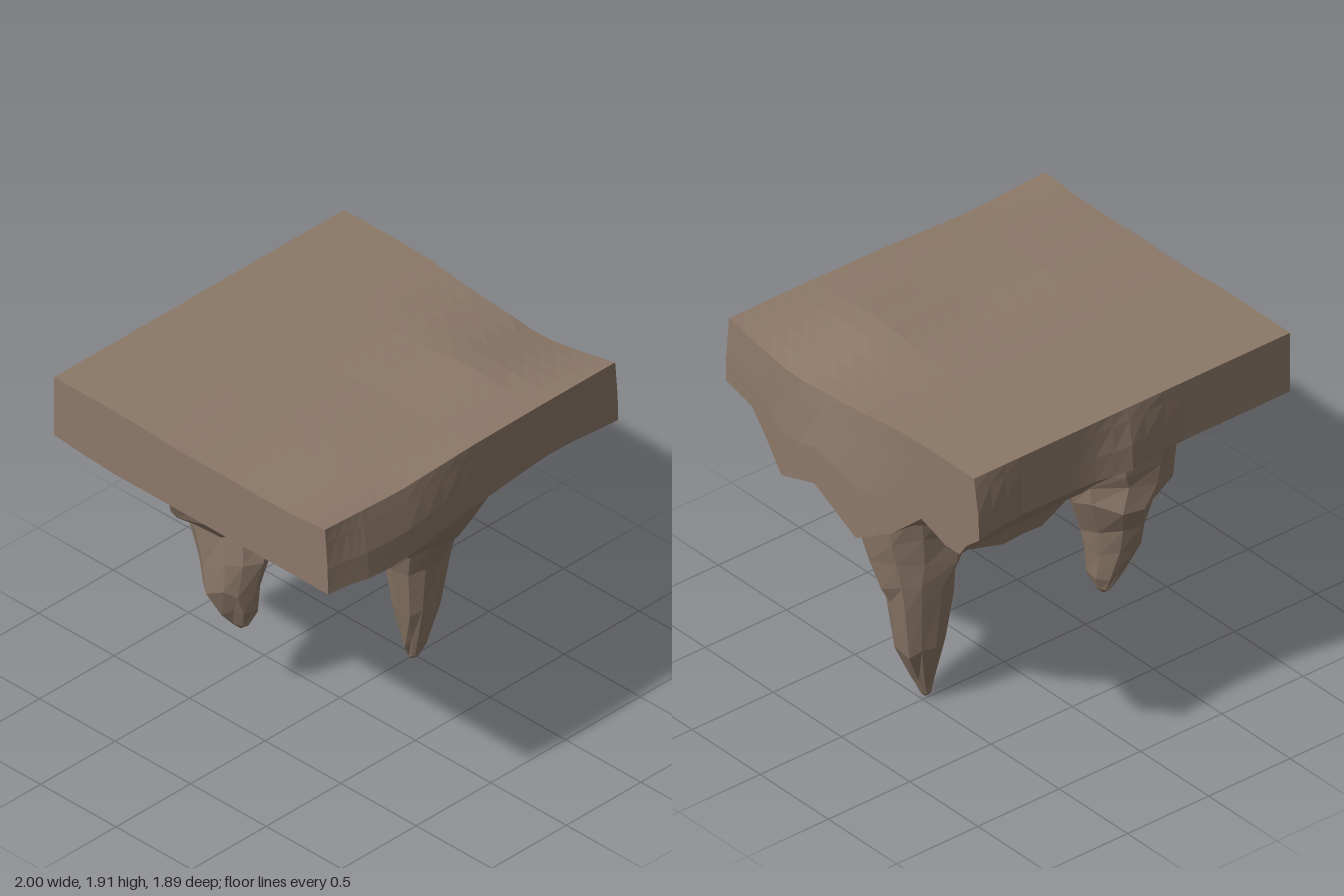
import * as THREE from 'three';

// Repeatable noise in -1..1 for a lattice position
const noise = (i, j, k = 0) => {
  const s = Math.sin(i * 127.1 + j * 311.7 + k * 74.7) * 43758.5453;
  return (s - Math.floor(s)) * 2 - 1;
};

// Linear interpolation of ys over descending or ascending knots xs
function lerpAt(xs, ys, x) {
  const dir = xs[1] > xs[0] ? 1 : -1;
  let i = 0;
  while (i < xs.length - 2 && (x - xs[i + 1]) * dir > 0) i++;
  const t = THREE.MathUtils.clamp((x - xs[i]) / (xs[i + 1] - xs[i]), 0, 1);
  return ys[i] + (ys[i + 1] - ys[i]) * t;
}
const sample = (xs, zs, rows, x, z) => lerpAt(zs, rows.map((r) => lerpAt(xs, r, x)), z);

// Upper surface heights
const TX = [-1, -0.5, 0, 0.47, 0.95];
const TZ = [0.89, 0.65, 0.4, 0.2, -0.08, -0.3, -0.5, -0.9];
const TOP = [
  [1.89, 1.865, 1.885, 1.89, 1.89],
  [1.87, 1.88, 1.88, 1.89, 1.84],
  [1.87, 1.885, 1.89, 1.915, 1.8],
  [1.875, 1.88, 1.87, 1.885, 1.825],
  [1.87, 1.86, 1.86, 1.865, 1.845],
  [1.885, 1.885, 1.885, 1.885, 1.88],
  [1.89, 1.89, 1.89, 1.89, 1.89],
  [1.89, 1.89, 1.89, 1.89, 1.89],
];

// Underside heights
const BX = [-1, -0.86, -0.76, -0.6, -0.35, -0.1, 0.1, 0.3, 0.55, 0.75, 0.945];
const BZ = [0.89, 0.7, 0.47, 0.2, -0.1, -0.33, -0.52, -0.64, -0.69, -0.8, -0.905];
const UNDER = [
  [1.53, 1.53, 1.52, 1.51, 1.52, 1.54, 1.55, 1.57, 1.59, 1.57, 1.55],
  [1.53, 1.5, 1.47, 1.44, 1.42, 1.41, 1.4, 1.39, 1.39, 1.41, 1.5],
  [1.53, 1.47, 1.42, 1.36, 1.32, 1.29, 1.33, 1.36, 1.36, 1.35, 1.23],
  [1.53, 1.46, 1.38, 1.27, 1.22, 1.18, 1.26, 1.3, 1.3, 1.3, 1.33],
  [1.53, 1.45, 1.33, 1.18, 1.13, 1.15, 1.25, 1.3, 1.3, 1.28, 1.17],
  [1.53, 1.46, 1.35, 1.22, 1.18, 1.22, 1.33, 1.34, 1.34, 1.33, 1.3],
  [1.53, 1.48, 1.42, 1.32, 1.28, 1.34, 1.34, 1.24, 1.24, 1.3, 1.47],
  [1.54, 1.51, 1.48, 1.43, 1.4, 1.4, 1.32, 1.21, 1.21, 1.27, 1.43],
  [1.54, 1.52, 1.5, 1.47, 1.45, 1.44, 1.42, 1.39, 1.39, 1.39, 1.41],
  [1.55, 1.54, 1.53, 1.51, 1.5, 1.49, 1.46, 1.44, 1.43, 1.42, 1.41],
  [1.56, 1.56, 1.56, 1.56, 1.56, 1.56, 1.56, 1.56, 1.56, 1.56, 1.56],
];

// Surface through rows of points; it faces along (point step) x (row step)
function skin(rows) {
  const n = rows[0].length;
  const index = [];
  for (let j = 0; j < rows.length - 1; j++) {
    for (let i = 0; i < n - 1; i++) {
      const a = j * n + i, b = a + 1, c = a + n, d = c + 1;
      index.push(a, b, d, a, d, c);
    }
  }
  const geo = new THREE.BufferGeometry().setFromPoints(rows.flat());
  geo.setIndex(index);
  geo.computeVertexNormals();
  return geo;
}

// Knots with a midpoint added in every gap
const refine = (k) => k.flatMap((v, i) => (i < k.length - 1 ? [v, (v + k[i + 1]) / 2] : [v]));

// Stalactite lofted through boxes [y, xMin, xMax, zMin, zMax], from tip to root.
// slant stretches the rings along the x = z diagonal.
function stalactite(sections, sides, seed, slant) {
  const rows = sections.map(([y, x0, x1, z0, z1], j) => {
    const ring = [];
    for (let i = 0; i <= sides; i++) {
      const k = i % sides;
      const a = (k / sides) * Math.PI * 2 + noise(k, 2, seed) * 0.08;
      const r = 1.02 - 0.09 * Math.sin(2 * a) ** 2 + 0.04 * noise(k, j, seed);
      ring.push(new THREE.Vector3(
        (x0 + x1) / 2 + (Math.cos(a) * r * (x1 - x0)) / 2,
        y + (j ? 0.03 * noise(k, j, seed + 5) : 0),
        (z0 + z1) / 2 - (Math.sin(a - slant) * r * (z1 - z0)) / 2));
    }
    return ring;
  });
  const [y, x0, x1, z0, z1] = sections[0];
  rows.unshift(rows[0].map(() => new THREE.Vector3((x0 + x1) / 2, Math.max(0, y - 0.03), (z0 + z1) / 2)));
  return skin(rows);
}

export function createModel() {
  const group = new THREE.Group();
  const rock = new THREE.MeshStandardMaterial({ color: 0x8c7868, flatShading: true });
  const add = (name, geo) => {
    const mesh = new THREE.Mesh(geo, rock);
    mesh.name = name;
    group.add(mesh);
  };

  const xs = refine(BX), zs = refine(BZ);
  const nx = xs.length - 1, nz = zs.length - 1;
  const onRim = (i, j) => i === 0 || j === 0 || i === nx || j === nz;

  // Outward bulge of the walls: right, front and back
  const bulge = (i, j) => new THREE.Vector3(
    i === nx ? lerpAt([0.6, 0.2, -0.1, -0.5], [0.02, 0.055, 0.05, 0], zs[j]) : 0, 0,
    j === 0 ? lerpAt([-1, -0.75, -0.5, 0, 0.9], [0.02, 0.055, 0.055, 0.01, 0], xs[i])
      : j === nz ? -lerpAt([-0.25, 0, 0.23, 0.7, 0.95], [0, 0.04, 0, 0, 0.04], xs[i]) : 0);

  const topPoint = (i, j) => new THREE.Vector3(xs[i], sample(TX, TZ, TOP, xs[i], zs[j]), zs[j]);
  const basePoint = (i, j) => new THREE.Vector3(xs[i], sample(BX, BZ, UNDER, xs[i], zs[j]), zs[j]);

  // Wall point at height fraction t, pushed out by a share of the bulge
  const wallPoint = (i, j, t, share) =>
    basePoint(i, j).lerp(topPoint(i, j), t).addScaledVector(bulge(i, j), share);

  // Underside point, with slight roughness away from the rim
  const lowPoint = (i, j) => {
    if (onRim(i, j)) return wallPoint(i, j, 0, 1);
    const p = basePoint(i, j);
    const rough = THREE.MathUtils.clamp((1.56 - p.y) * 5, 0, 1);
    return p.add(new THREE.Vector3(
      0.012 * noise(i, j, 1), 0.02 * rough * noise(i >> 1, j >> 1, 2), 0.008 * noise(i, j, 3)));
  };

  // Ground surface and rough underside
  add('groundTop', skin(zs.map((_, j) => xs.map((_, i) => topPoint(i, j)))));
  add('underside', skin(zs.map((_, j) => xs.map((_, i) => lowPoint(i, nz - j)))));

  // Four walls, each running counterclockwise seen from above
  const walls = {
    frontWall: xs.map((_, i) => [i, 0]),
    rightEdgeWall: zs.map((_, j) => [nx, j]),
    backWall: xs.map((_, i) => [nx - i, nz]),
    leftEdgeWall: zs.map((_, j) => [0, nz - j]),
  };
  const levels = [[0, 0.9], [0.4, 0.85], [0.8, 0.3], [1, 0]];
  levels[0][1] = 1;
  for (const [name, path] of Object.entries(walls)) {
    add(name, skin(levels.map(([t, share]) => path.map(([i, j]) => wallPoint(i, j, t, share)))));
  }

  // Hanging spikes
  add('largeStalactite', stalactite([
    [0.03, 0.445, 0.5, -0.02, 0.05],
    [0.12, 0.41, 0.55, -0.04, 0.08],
    [0.33, 0.36, 0.65, -0.1, 0.13],
    [0.6, 0.32, 0.7, -0.14, 0.17],
    [0.73, 0.29, 0.73, -0.16, 0.22],
    [0.88, 0.14, 0.77, -0.18, 0.33],
    [1.02, 0.1, 0.81, -0.2, 0.42],
    [1.25, 0.09, 0.86, -0.24, 0.55],
    [1.42, 0.07, 0.88, -0.26, 0.62],
  ], 12, 3, -0.1));
  add('smallStalactite', stalactite([
    [0.44, -0.37, -0.31, -0.36, -0.28],
    [0.54, -0.43, -0.27, -0.4, -0.24],
    [0.68, -0.5, -0.26, -0.46, -0.22],
    [0.82, -0.5, -0.24, -0.51, -0.18],
    [1.0, -0.51, -0.16, -0.57, -0.19],
    [1.1, -0.62, -0.14, -0.59, -0.16],
    [1.22, -0.66, -0.08, -0.6, -0.12],
    [1.36, -0.7, -0.02, -0.62, -0.08],
  ], 10, 8, 0.4));
  return group;
}
